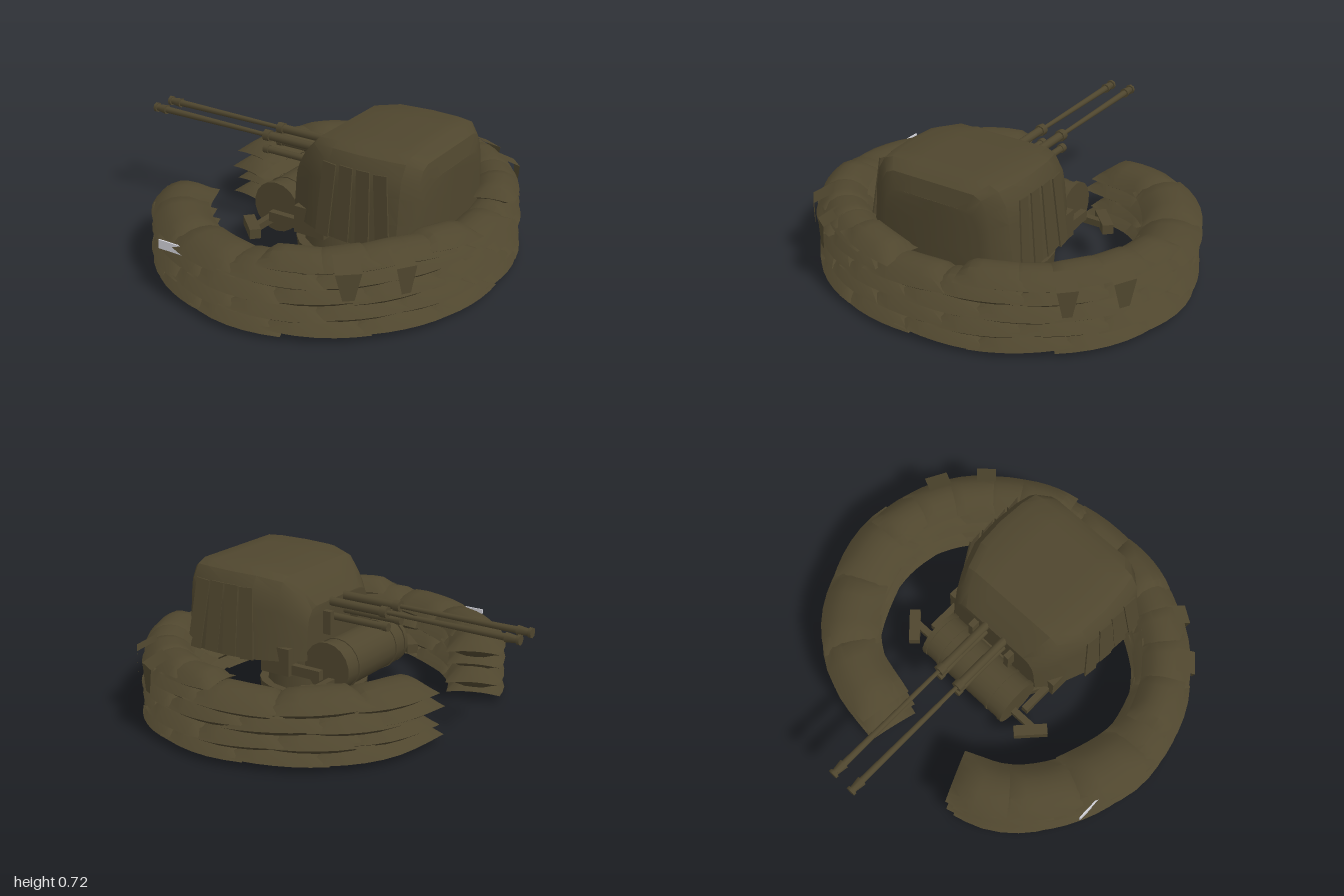
import * as THREE from 'three';
import { toCreasedNormals } from 'three/addons/utils/BufferGeometryUtils.js';

const olive = new THREE.MeshStandardMaterial({ color: 0x4f462e, side: THREE.DoubleSide });
olive.name = 'olive';
const paleGrey = new THREE.MeshStandardMaterial({ color: 0xcfcfd6 });
paleGrey.name = 'paleGrey';

let seed = 7;
const rand = () => (seed = (seed * 16807) % 2147483647) / 2147483647;
const jitter = (a) => (rand() * 2 - 1) * a;

// Centre line of the horseshoe wall, as x, z
const wallLine = new THREE.CatmullRomCurve3([
  [-0.55, -0.15], [-0.47, -0.49], [-0.28, -0.7], [0.1, -0.84], [0.42, -0.78], [0.65, -0.61], [0.82, -0.33],
  [0.87, 0], [0.82, 0.33], [0.65, 0.61], [0.42, 0.78], [0.1, 0.84], [-0.28, 0.7], [-0.47, 0.52], [-0.56, 0.31],
].map(([x, z]) => new THREE.Vector3(x, 0, z)));
wallLine.arcLengthDivisions = 400;

function add(parent, name, geometry, pos = [0, 0, 0], rot = [0, 0, 0], material = olive) {
  const mesh = new THREE.Mesh(geometry, material);
  mesh.name = name;
  mesh.position.set(...pos);
  mesh.rotation.set(...rot);
  parent.add(mesh);
  return mesh;
}

// Point on the wall: t along it, side outwards
function wallPoint(t, side) {
  const u = THREE.MathUtils.clamp(t, 0, 1);
  const p = wallLine.getPointAt(u), d = wallLine.getTangentAt(u);
  return new THREE.Vector3(p.x + d.z * side, 0, p.z - d.x * side);
}

// Pillow with a sharp seam, bent along the wall
function bagGeometry(t, halfLength, halfWidth, y, halfHeight, tilt) {
  const g = new THREE.BoxGeometry(2, 2, 2, 6, 1, 6);
  const p = g.attributes.position;
  for (let i = 0; i < p.count; i++) {
    const u = p.getX(i), v = p.getZ(i);
    const bulge = Math.sqrt(Math.max(0, 1 - u ** 4)) * (1 - Math.abs(v) ** 2.4);
    const q = wallPoint(t + u * halfLength, v * halfWidth * (1 - 0.06 * u * u));
    const height = y + p.getY(i) * halfHeight * bulge + tilt * u - 0.012 * v * v;
    p.setXYZ(i, q.x, Math.max(0.03, height), q.z);
  }
  g.computeVertexNormals();
  return toCreasedNormals(g, 0.7);
}

function sandbagWall() {
  const wall = new THREE.Group();
  wall.name = 'sandbagWall';
  const rows = [0.052, 0.132, 0.215, 0.3];
  rows.forEach((y, row) => {
    const count = 13;
    for (let i = 0; i < count; i++) {
      const half = 0.62 / count;
      const shift = row % 2 ? 0.25 / count : -0.25 / count;
      const t = THREE.MathUtils.clamp((i + 0.5) / count + shift, half, 1 - half);
      const width = 0.122 + 0.026 * Math.min(1, Math.abs(t - 0.5) * 3.5) + jitter(0.008);
      add(wall, 'sandbag', bagGeometry(t, half, width, y + jitter(0.006), 0.062, jitter(0.012)));
    }
  });
  // Rumpled cover and hanging flaps at both rear corners
  for (const s of [-1, 1]) {
    for (let i = 0; i < 5; i++) {
      const t = 0.5 + s * (0.07 + i * 0.04);
      add(wall, 'crumpledCover', bagGeometry(t, 0.035, 0.115, 0.362 + jitter(0.008), 0.05, jitter(0.02)));
    }
    for (const [t, w] of [[0.135, 0.05], [0.185, 0.06]]) {
      const rim = wallPoint(0.5 + s * t, 0.05), edge = wallPoint(0.5 + s * t, 0.15);
      const along = wallLine.getTangentAt(0.5 + s * t);
      const corners = [
        [rim, 0.41, w], [edge, 0.36, w], [edge, 0.23, w * 0.45],
      ].flatMap(([c, y, k]) => [-k, k].map((m) => [c.x + along.x * m, y, c.z + along.z * m]));
      const g = new THREE.BufferGeometry();
      g.setAttribute('position', new THREE.Float32BufferAttribute(corners.flat(), 3));
      g.setIndex([0, 1, 2, 1, 3, 2, 2, 3, 4, 3, 5, 4]);
      g.computeVertexNormals();
      add(wall, 'coverFlap', toCreasedNormals(g, 0.5));
    }
  }
  add(wall, 'plank', new THREE.BoxGeometry(0.59, 0.045, 0.008), [0, 0.285, 0.9], [0, 0, 0], paleGrey);
  return wall;
}

function tarpaulin() {
  const group = new THREE.Group();
  group.name = 'tarpaulin';
  // Stations along x: x, half width, top
  const stations = [
    [0.045, 0, 0.56], [0.045, 0.27, 0.56], [0.1, 0.32, 0.635], [0.17, 0.35, 0.705], [0.3, 0.405, 0.728],
    [0.45, 0.41, 0.73], [0.6, 0.405, 0.73], [0.68, 0.38, 0.727], [0.74, 0.32, 0.69], [0.76, 0.27, 0.61], [0.762, 0, 0.61],
  ];
  const half = [[1.04, 0], [1, 0.3], [0.97, 0.6], [0.93, 0.8], [0.83, 0.95], [0.7, 1], [0.35, 1]];
  const profile = [...half, [0, 1], ...half.map(([w, h]) => [-w, h]).reverse()];
  const floor = 0.3, n = profile.length, pos = [], index = [];
  stations.forEach(([x, w, top], i) => profile.forEach(([k, h], j) => {
    const fold = 1 + (w && (i % 2) ? 0.015 : 0);
    pos.push(x, floor + (top - floor) * h, k * w * fold);
    if (i && j) {
      const a = i * n + j;
      index.push(a - n - 1, a - 1, a - n, a - n, a - 1, a);
    }
  }));
  const g = new THREE.BufferGeometry();
  g.setAttribute('position', new THREE.Float32BufferAttribute(pos, 3));
  g.setIndex(index);
  add(group, 'cover', toCreasedNormals(g, 0.6));
  // Loose strips hanging down each side
  for (const s of [-1, 1]) {
    for (let i = 0; i < 4; i++) {
      add(group, 'looseStrip', new THREE.BoxGeometry(0.075, 0.36, 0.008),
        [0.31 + i * 0.1, 0.48, s * 0.412], [-s * 0.1, -s * 0.1, 0.06 * (i - 1)]);
    }
  }
  return group;
}

// Round bar lying along x
function bar(parent, name, x0, x1, y, z, r0, r1 = r0, sides = 10) {
  add(parent, name, new THREE.CylinderGeometry(r0, r1, x1 - x0, sides), [(x0 + x1) / 2, y, z], [0, 0, Math.PI / 2]);
}

function guns() {
  const group = new THREE.Group();
  group.name = 'twinGuns';
  for (const z of [-0.06, 0.06]) {
    bar(group, 'muzzleBrake', -1, -0.985, 0.55, z, 0.026, 0.026, 8);
    bar(group, 'muzzleBrake', -0.98, -0.925, 0.55, z, 0.018, 0.026, 8);
    bar(group, 'barrel', -0.99, -0.28, 0.55, z, 0.018, 0.011);
    bar(group, 'barrelCollar', -0.285, -0.25, 0.55, z, 0.03, 0.03, 8);
    bar(group, 'barrelSleeve', -0.25, 0.2, 0.55, z, 0.022);
    bar(group, 'recoilTube', -0.29, 0.2, 0.475, z, 0.018);
    bar(group, 'recoilTubeCap', -0.29, -0.26, 0.475, z, 0.023, 0.023, 8);
  }
  return group;
}

function mount() {
  const group = new THREE.Group();
  group.name = 'gunMount';
  add(group, 'baseDisc', new THREE.CylinderGeometry(0.28, 0.27, 0.09, 20), [0.2, 0.06, 0], [0.02, 0, 0]);
  add(group, 'pedestal', new THREE.CylinderGeometry(0.2, 0.24, 0.25, 16), [0.2, 0.22, 0]);
  add(group, 'platform', new THREE.BoxGeometry(0.5, 0.08, 0.5), [0.32, 0.34, 0]);
  // Large drum across the front
  add(group, 'crossDrum', new THREE.CylinderGeometry(0.125, 0.125, 0.5, 18), [-0.07, 0.28, 0], [Math.PI / 2, 0, 0]);
  for (const s of [-1, 1]) {
    add(group, 'drumRim', new THREE.CylinderGeometry(0.13, 0.13, 0.025, 18), [-0.07, 0.285, s * 0.26], [Math.PI / 2, 0, 0]);
    add(group, 'drumRib', new THREE.CylinderGeometry(0.13, 0.13, 0.012, 18), [-0.07, 0.28, s * 0.17], [Math.PI / 2, 0, 0]);
    add(group, 'sideArm', new THREE.BoxGeometry(0.32, 0.05, 0.035), [0.09, 0.26, s * 0.32]);
    add(group, 'sideBox', new THREE.BoxGeometry(0.17, 0.14, 0.07), [0.18, 0.3, s * 0.325]);
    add(group, 'stepBracket', new THREE.BoxGeometry(0.035, 0.035, 0.15), [-0.1, 0.22, s * 0.345]);
    add(group, 'stepPad', new THREE.BoxGeometry(0.17, 0.05, 0.055), [-0.12, 0.22, s * 0.41], [0, s > 0 ? -0.75 : 0.75, 0]);
    add(group, 'cradleArm', new THREE.BoxGeometry(0.2, 0.12, 0.03), [0.1, 0.46, s * 0.12]);
  }
  return group;
}

export function createModel() {
  const model = new THREE.Group();
  model.name = 'gunEmplacement';
  model.add(sandbagWall(), mount(), guns(), tarpaulin());
  return model;
}
